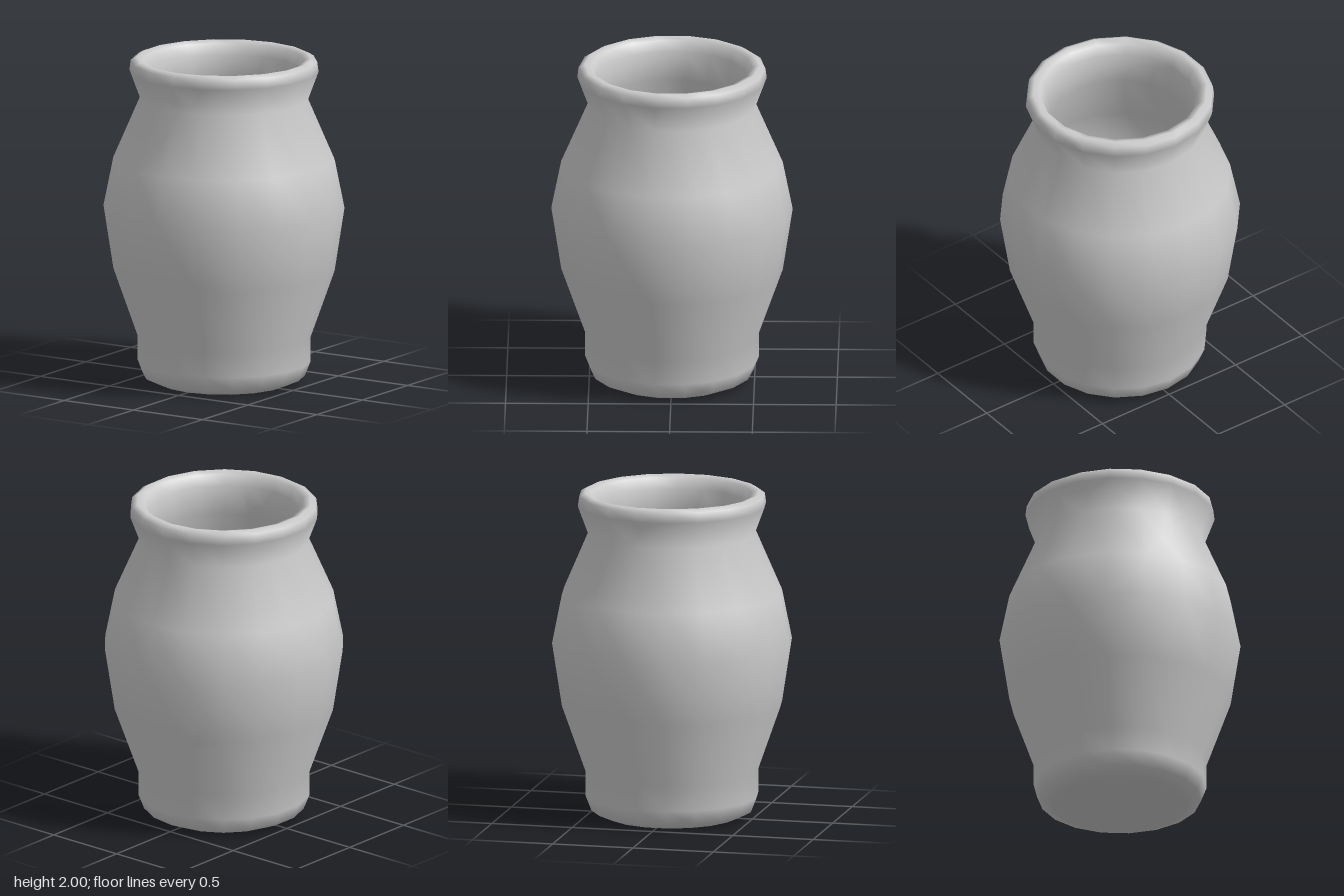
import * as THREE from 'three';

// Closed wall section: under the base, up the outside, over the lip, down the inside
const PROFILE = [
  [0, 0], [0.4, 0], [0.49, 0.04], [0.525, 0.13], [0.525, 0.28], [0.67, 0.69], [0.73, 1.08],
  [0.67, 1.38], [0.51, 1.75], [0.573, 1.92], [0.565, 1.98], [0.53, 2],
  [0.485, 1.985], [0.46, 1.92], [0.43, 1.75], [0.59, 1.38], [0.645, 1.08], [0.59, 0.69],
  [0.44, 0.28], [0.4, 0.18], [0.3, 0.11], [0, 0.1],
];
const SIDES = 18;

// Cracks running round the pot: [angle in degrees from the front, height]
const WAIST = [[-180, 0.6], [-130, 0.66], [-90, 0.7], [-62, 0.75], [-38, 0.95], [0, 0.78],
  [30, 0.69], [65, 0.6], [90, 0.6], [115, 0.64], [124, 0.57], [150, 0.6], [180, 0.6]];
const NECK = [[-78, 1.88], [17, 1.8]];
const SHOULDER = [[-139, 1.5], [-107, 1.45]];

// Cracks running up the pot: [height, angle]
const FRONT = [[0.95, -38], [1.38, -19], [1.6, 0], [1.8, 17], [1.9, 27], [1.98, 41]];
const LEFT = [[0.64, 115], [1.1, 108], [1.38, 102], [1.75, 84], [1.98, 84]];
const BACK_LEFT = [[0.6, 146], [1.08, 120], [1.75, 120], [2, 110]];
const BACK = [[0.6, -158], [1.1, -137], [1.5, -139], [1.75, -175], [2, -175]];
const RIGHT = [[0.95, -70], [1.45, -107], [1.8, -103], [2, -100]];
const BASE = [[0, 112], [0.28, 118], [0.6, 120]];

function lookUp(table, t) {
  if (t <= table[0][0]) return table[0][1];
  for (let i = 1; i < table.length; i++) {
    const [t0, v0] = table[i - 1], [t1, v1] = table[i];
    if (t <= t1) return v0 + (v1 - v0) * (t - t0) / (t1 - t0);
  }
  return table[table.length - 1][1];
}

// Signed distances from a crack: positive above it, or on its counter-clockwise side
const above = (table) => (x, y, z) => y - lookUp(table, THREE.MathUtils.radToDeg(Math.atan2(x, z)));
const past = (table) => (x, y, z) => {
  const a = THREE.MathUtils.degToRad(lookUp(table, y));
  return x * Math.cos(a) - z * Math.sin(a);
};
const CUTS = {
  waist: above(WAIST), neck: above(NECK), shoulder: above(SHOULDER), front: past(FRONT),
  left: past(LEFT), backLeft: past(BACK_LEFT), back: past(BACK), right: past(RIGHT), base: past(BASE),
};
const NAMES = Object.keys(CUTS);

// Each shard lists the cracks that bound it and the side it lies on
const SHARDS = {
  baseBackShard: { waist: -1, base: 1 },
  baseFrontShard: { waist: -1, base: -1 },
  frontShard: { waist: 1, front: 1, left: -1 },
  leftShard: { waist: 1, left: 1, backLeft: -1 },
  backShard: { waist: 1, backLeft: 1, back: -1 },
  rightBackShard: { waist: 1, back: 1, right: -1, shoulder: -1 },
  shoulderShard: { waist: 1, back: 1, right: -1, shoulder: 1 },
  rightFrontShard: { waist: 1, right: 1, front: -1, neck: -1 },
  rimShard: { waist: 1, right: 1, front: -1, neck: 1 },
};

// Triangles of the whole pot; a corner holds position, normal and distance to every crack
function potTriangles() {
  const lathe = new THREE.LatheGeometry(PROFILE.map(([r, y]) => new THREE.Vector2(r, y)), SIDES);
  const { position: p, normal: n } = lathe.attributes;
  const corners = [];
  for (let i = 0; i < p.count; i++) {
    const v = [p.getX(i), p.getY(i), p.getZ(i)];
    corners.push([...v, n.getX(i), n.getY(i), n.getZ(i), ...NAMES.map((k) => CUTS[k](...v))]);
  }
  const triangles = [];
  for (let i = 0; i < lathe.index.count; i += 3) {
    triangles.push([0, 1, 2].map((k) => corners[lathe.index.getX(i + k)]));
  }
  return triangles;
}

// Keep the part of a polygon on one side of a crack
function clip(polygon, slot, side) {
  const kept = [];
  polygon.forEach((a, i) => {
    const b = polygon[(i + 1) % polygon.length];
    const da = a[slot] * side, db = b[slot] * side;
    if (da >= 0) kept.push(a);
    if ((da > 0 && db < 0) || (da < 0 && db > 0)) {
      const t = da / (da - db);
      kept.push(a.map((v, k) => v + (b[k] - v) * t));
    }
  });
  return kept;
}

function shardGeometry(triangles, bounds) {
  const positions = [], normals = [];
  const a = new THREE.Vector3(), b = new THREE.Vector3(), c = new THREE.Vector3();
  for (const triangle of triangles) {
    let polygon = triangle;
    for (const name in bounds) polygon = clip(polygon, 6 + NAMES.indexOf(name), bounds[name]);
    for (let i = 2; i < polygon.length; i++) {
      const fan = [polygon[0], polygon[i - 1], polygon[i]];
      a.fromArray(fan[0]); b.fromArray(fan[1]); c.fromArray(fan[2]);
      if (b.sub(a).cross(c.sub(a)).length() < 1e-9) continue;
      for (const v of fan) {
        positions.push(v[0], v[1], v[2]);
        normals.push(v[3], v[4], v[5]);
      }
    }
  }
  const geometry = new THREE.BufferGeometry();
  geometry.setAttribute('position', new THREE.Float32BufferAttribute(positions, 3));
  geometry.setAttribute('normal', new THREE.Float32BufferAttribute(normals, 3));
  return geometry;
}

export function createModel() {
  const pot = new THREE.Group();
  pot.name = 'crackedPot';
  const clay = new THREE.MeshStandardMaterial({ color: 0xcccccc });
  const triangles = potTriangles();
  for (const name in SHARDS) {
    const shard = new THREE.Mesh(shardGeometry(triangles, SHARDS[name]), clay);
    shard.name = name;
    pot.add(shard);
  }
  return pot;
}
